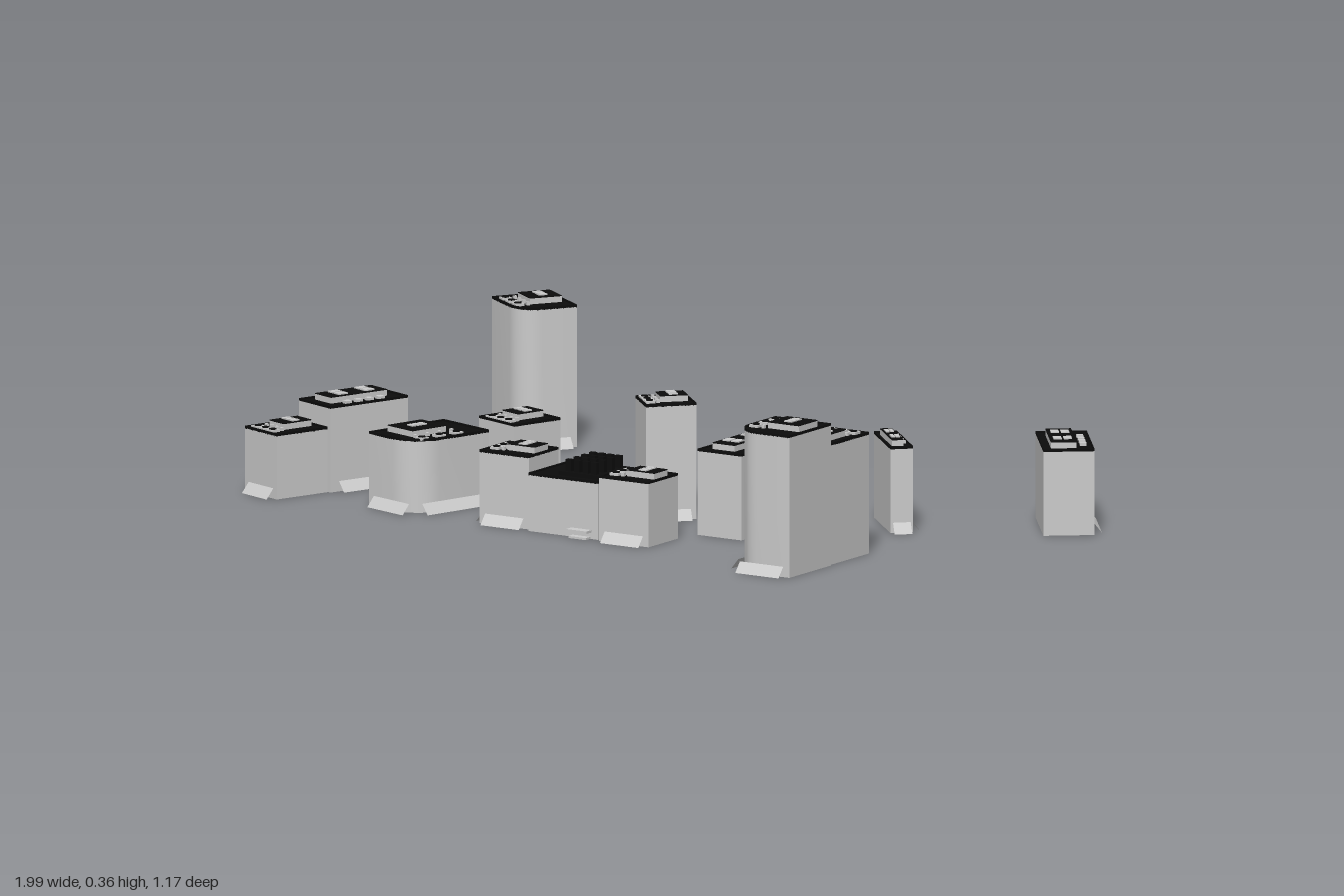
import * as THREE from 'three';
import { toCreasedNormals } from 'three/addons/utils/BufferGeometryUtils.js';

const grey = new THREE.MeshStandardMaterial({ color: 0xcccccc });
const wallMat = new THREE.MeshStandardMaterial({ color: 0xcccccc, side: THREE.DoubleSide });
const black = new THREE.MeshStandardMaterial({ color: 0x0c0c0c });

function add(parent, name, geometry, material, x = 0, y = 0, z = 0) {
  const mesh = new THREE.Mesh(geometry, material);
  mesh.name = name;
  mesh.position.set(x, y, z);
  parent.add(mesh);
  return mesh;
}

// Box standing on height y
function block(parent, name, material, w, h, d, x, y, z) {
  return add(parent, name, new THREE.BoxGeometry(w, h, d), material, x, y + h / 2, z);
}

// Rectangular footprint in x/z; the front corner on the given side can be rounded
function footprint(w, d, roundSide, r) {
  const x = w / 2, z = d / 2;
  const arc = (side) => {
    if (roundSide !== side) return [[side * x, z]];
    const pts = [];
    for (let i = 0; i <= 8; i++) {
      const a = (i / 8) * Math.PI / 2;
      pts.push([side * (x - r + r * Math.cos(a)), z - r + r * Math.sin(a)]);
    }
    return side > 0 ? pts : pts.reverse();
  };
  return [[-x, -z], [x, -z], ...arc(1), ...arc(-1)];
}

// Wall strip around the footprint, open below
function wallGeometry(points, h) {
  const pos = [];
  points.forEach(([ax, az], i) => {
    const [bx, bz] = points[(i + 1) % points.length];
    pos.push(ax, 0, az, ax, h, az, bx, h, bz, ax, 0, az, bx, h, bz, bx, 0, bz);
  });
  const g = new THREE.BufferGeometry();
  g.setAttribute('position', new THREE.Float32BufferAttribute(pos, 3));
  return toCreasedNormals(g, 0.5);
}

// Horizontal slab hanging down from y = 0, optionally a ring
function slabGeometry(points, depth, ring) {
  const v = (k) => points.map(([x, z]) => new THREE.Vector2(x * k, z * k));
  const shape = new THREE.Shape(v(1));
  if (ring) shape.holes.push(new THREE.Path(v(0.95)));
  return new THREE.ExtrudeGeometry(shape, { depth, bevelEnabled: false }).rotateX(Math.PI / 2);
}

// Sloping sheet at the foot of one side: 0 front, 1 left, 2 back, 3 right
function addApron(parent, w, d, side) {
  const odd = side % 2 === 1;
  const g = new THREE.PlaneGeometry((odd ? d : w) * 0.78, 0.025);
  const p = g.attributes.position;
  for (let i = 0; i < p.count; i++) {
    const top = p.getY(i) > 0;
    p.setY(i, top ? 0.025 : 0);
    p.setZ(i, (odd ? w : d) / 2 + (top ? 0 : 0.02));
  }
  g.computeVertexNormals();
  add(parent, 'groundApron', g, wallMat).rotation.y = side * Math.PI / 2;
}

// Plant room with vents, a row of pipes and a row of cooling units
function addCompactRoof(parent, w, d) {
  const bx = w * 0.13, bz = -d * 0.08, bw = w * 0.55, bd = d * 0.45;
  block(parent, 'plantRoom', grey, bw, 0.014, bd, bx, 0, bz);
  block(parent, 'plantRoomRoof', black, bw, 0.002, bd, bx, 0.014, bz);
  for (let i = -1; i <= 1; i++) {
    block(parent, 'roofVent', grey, 0.022, 0.003, 0.012, bx, 0.016, bz + i * 0.016);
    const z = -d * 0.08 + i * d * 0.23;
    block(parent, 'coolingUnit', grey, 0.024, 0.006, 0.024, -w * 0.36, 0, z);
    add(parent, 'coolingFan', new THREE.CylinderGeometry(0.009, 0.009, 0.003, 12), black, -w * 0.36, 0.0065, z);
  }
  for (let i = 0; i < 4; i++)
    block(parent, 'roofPipe', grey, 0.008, 0.008, 0.008, -w * 0.2, 0, d * (-0.3 + i * 0.16));
}

// Long plant room with two skylights, running along local z
function addLongRoof(parent, w, d) {
  const bx = -w * 0.08, bw = w * 0.5, bd = d * 0.72;
  block(parent, 'plantRoom', grey, bw, 0.014, bd, bx, 0, 0);
  block(parent, 'plantRoomRoof', black, bw, 0.002, bd, bx, 0.014, 0);
  for (const s of [-1, 1]) for (const t of [-1, 1])
    block(parent, 'skylight', grey, bw * 0.32, 0.003, 0.028, bx + t * bw * 0.2, 0.016, s * d * 0.17);
  for (let i = -1.5; i < 2; i++)
    block(parent, 'coolingUnit', grey, w * 0.13, 0.007, w * 0.13, w * 0.32, 0, i * d * 0.14);
}

function building({ at, size, h, turn = 0, round = 0, r = 0.06, aprons = [], roof, roofTurn = 0 }) {
  const [w, d] = size;
  const g = new THREE.Group();
  g.name = 'building';
  g.position.set(at[0], 0, at[1]);
  g.rotation.y = -turn;
  const points = footprint(w, d, round, r);
  add(g, 'walls', wallGeometry(points, h - 0.004), wallMat);
  add(g, 'roofDeck', slabGeometry(points, 0.003, false), black, 0, h - 0.002);
  add(g, 'parapet', slabGeometry(points, 0.006, true), black, 0, h + 0.002);
  aprons.forEach((side) => addApron(g, w, d, side));
  if (roof) {
    const top = new THREE.Group();
    top.name = 'roofEquipment';
    top.position.y = h - 0.002;
    top.rotation.y = roofTurn * Math.PI / 2;
    const swap = Math.abs(roofTurn) % 2 === 1;
    roof(top, swap ? d : w, swap ? w : d);
    g.add(top);
  }
  return g;
}

export function createModel() {
  const model = new THREE.Group();
  model.name = 'cityBlocks';
  const C = addCompactRoof, L = addLongRoof;
  const list = [
    { at: [-0.75, -0.473], size: [0.17, 0.148], h: 0.343, turn: 0.6, round: 1, r: 0.06, aprons: [0, 1], roof: C, roofTurn: 1 },
    { at: [-0.84, 0.172], size: [0.126, 0.23], h: 0.207, turn: 0.35, aprons: [1], roof: L },
    { at: [-0.914, 0.35], size: [0.126, 0.15], h: 0.157, turn: 0.35, aprons: [0, 3], roof: C, roofTurn: 1 },
    { at: [-0.548, 0.29], size: [0.167, 0.232], h: 0.177, turn: 0.29, round: 1, r: 0.08, aprons: [1, 0], roof: C, roofTurn: 2 },
    { at: [-0.452, 0.043], size: [0.136, 0.138], h: 0.18, turn: 0.32, aprons: [0, 1], roof: C, roofTurn: 1 },
    { at: [-0.25, 0.353], size: [0.14, 0.127], h: 0.177, aprons: [0, 3], roof: C },
    { at: [0.107, 0.378], size: [0.14, 0.128], h: 0.157, aprons: [0], roof: C },
    { at: [-0.003, 0.093], size: [0.117, 0.122], h: 0.28, turn: 0.77, aprons: [0, 1], roof: C, roofTurn: 1 },
    { at: [0.253, 0.135], size: [0.125, 0.23], h: 0.207, aprons: [1], roof: L },
    { at: [0.513, -0.107], size: [0.195, 0.055], h: 0.207, turn: 0.785, aprons: [1, 2], roof: L, roofTurn: 1 },
    { at: [0.862, -0.318], size: [0.225, 0.122], h: 0.207, turn: 0.905, aprons: [2], roof: L, roofTurn: 1 },
    { at: [0.583, 0.3], size: [0.145, 0.168], h: 0.293, aprons: [2, 3], roof: C, roofTurn: -1 },
    { at: [0.582, 0.478], size: [0.158, 0.18], h: 0.343, round: -1, r: 0.065, aprons: [0, 3], roof: C },
  ];
  list.forEach((b) => model.add(building(b)));

  // Low hall with a field of roof posts and a front entrance
  const hall = building({ at: [-0.072, 0.337], size: [0.197, 0.19], h: 0.14 });
  hall.name = 'hall';
  block(hall, 'roofPlinth', black, 0.115, 0.01, 0.13, 0.025, 0.138, 0);
  for (let i = 0; i < 4; i++) for (let j = 0; j < 4; j++)
    block(hall, 'roofPost', black, 0.016, 0.03, 0.012, -0.01 + i * 0.024, 0.147, -0.05 + j * 0.034);
  block(hall, 'entranceCanopy', grey, 0.058, 0.006, 0.024, 0.052, 0.016, 0.106);
  block(hall, 'entranceStep', grey, 0.05, 0.005, 0.02, 0.052, 0, 0.104);
  model.add(hall);
  return model;
}
